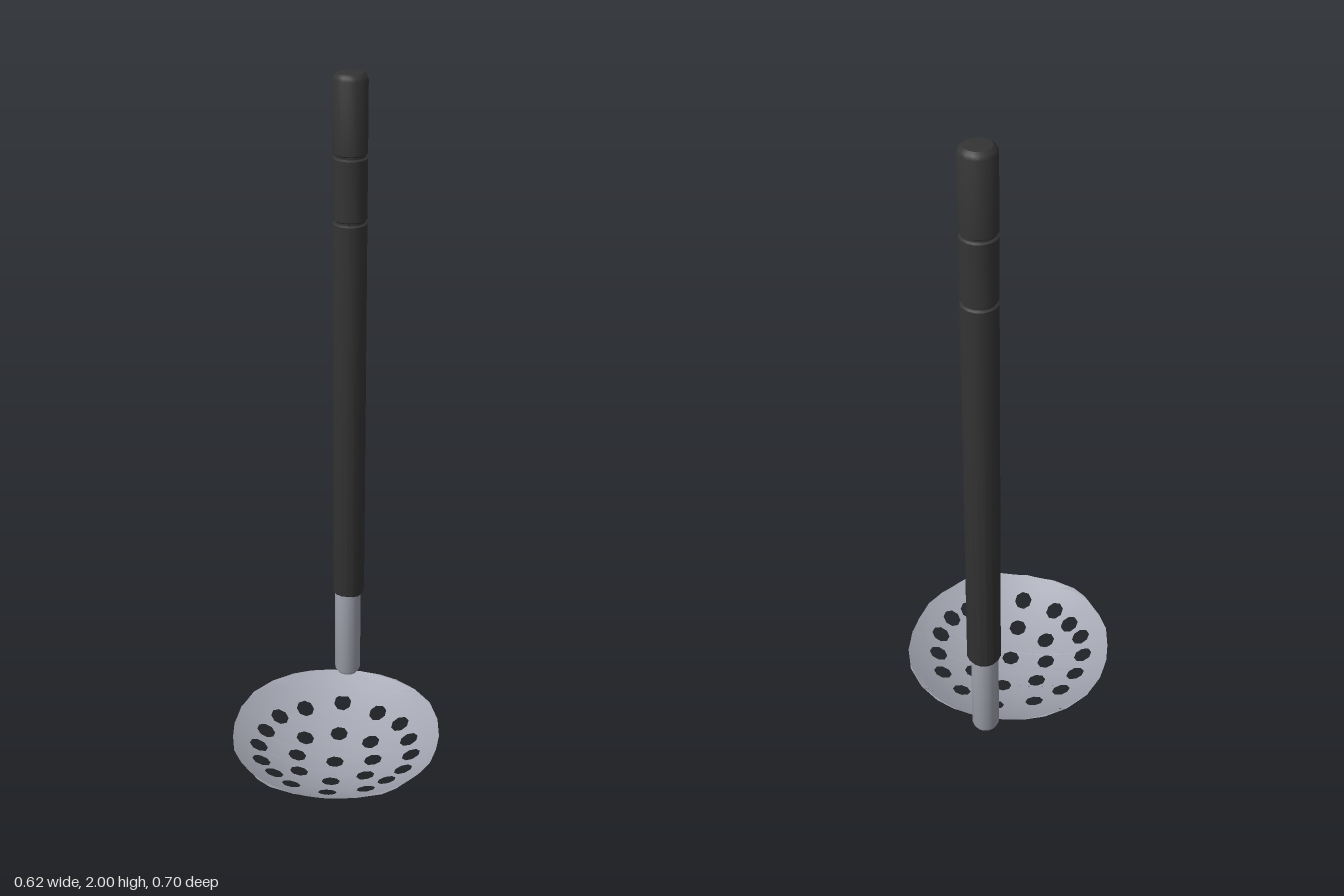
import * as THREE from 'three';
import { mergeVertices, toCreasedNormals } from 'three/addons/utils/BufferGeometryUtils.js';

const RIM_HEIGHT = 0.1, DISH_RADIUS = 0.316, DISH_Z = 0.035;

// Right half of the dish outline, back to front, as [x, z]
const RIM = [
  [0, -0.283], [0.05, -0.28], [0.11, -0.268], [0.165, -0.245], [0.225, -0.2],
  [0.275, -0.135], [0.303, -0.055], [0.311, 0.025], [0.305, 0.09], [0.29, 0.16],
  [0.26, 0.215], [0.2, 0.29], [0.16, 0.32], [0.09, 0.343], [0, 0.352],
];
// Drain holes: on the centre line, and in mirrored pairs
const CENTRE_HOLES = [-0.18, -0.065, 0.063, 0.181, 0.274];
const PAIRED_HOLES = [
  [0.114, -0.14], [0.187, -0.083], [0.219, -0.007], [0.23, 0.072], [0.211, 0.147],
  [0.166, 0.198], [0.109, 0.247], [0.101, -0.028], [0.115, 0.058], [0.099, 0.143],
];

// Splits every triangle into four, the given number of times
function subdivide(geometry, times) {
  let p = Array.from(geometry.toNonIndexed().attributes.position.array);
  for (let t = 0; t < times; t++) {
    const out = [];
    for (let i = 0; i < p.length; i += 9) {
      const a = p.slice(i, i + 3), b = p.slice(i + 3, i + 6), c = p.slice(i + 6, i + 9);
      const mid = (u, v) => u.map((n, k) => (n + v[k]) / 2);
      const ab = mid(a, b), bc = mid(b, c), ca = mid(c, a);
      out.push(...a, ...ab, ...ca, ...ab, ...b, ...bc, ...ca, ...bc, ...c, ...ab, ...bc, ...ca);
    }
    p = out;
  }
  const g = new THREE.BufferGeometry();
  g.setAttribute('position', new THREE.Float32BufferAttribute(p, 3));
  return mergeVertices(g, 1e-5);
}

// Perforated sheet pressed into a shallow bowl
function dishGeometry() {
  const left = RIM.slice(1, -1).reverse().map(([x, z]) => [-x, z]);
  const shape = new THREE.Shape([...RIM, ...left].map(([x, z]) => new THREE.Vector2(x, -z)));
  const holes = CENTRE_HOLES.map((z) => [0, z]);
  for (const [x, z] of PAIRED_HOLES) holes.push([x, z], [-x, z]);
  for (const [x, z] of holes) {
    const corners = [];
    for (let i = 0; i < 8; i++) {
      const a = ((i + 0.3) / 8) * Math.PI * 2;
      corners.push(new THREE.Vector2(x + 0.027 * Math.cos(a), -z + 0.027 * Math.sin(a)));
    }
    shape.holes.push(new THREE.Path(corners));
  }
  const g = subdivide(new THREE.ShapeGeometry(shape).rotateX(-Math.PI / 2), 3);
  const pos = g.attributes.position;
  for (let i = 0; i < pos.count; i++) {
    const r = Math.hypot(pos.getX(i), pos.getZ(i) - DISH_Z) / DISH_RADIUS;
    pos.setY(i, 0.003 + (RIM_HEIGHT - 0.003) * Math.min(r * r, 1.02));
  }
  g.computeVertexNormals();
  return g;
}

function turned(points, sides) {
  const profile = points.map(([r, y]) => new THREE.Vector2(r, y));
  return toCreasedNormals(new THREE.LatheGeometry(profile, sides), 0.6);
}

export function createModel() {
  const group = new THREE.Group();
  const steel = new THREE.MeshStandardMaterial({ color: 0xa3a5b1, side: THREE.DoubleSide });
  const black = new THREE.MeshStandardMaterial({ color: 0x343434 });

  const add = (name, geometry, material, x = 0, z = 0) => {
    const mesh = new THREE.Mesh(geometry, material);
    mesh.name = name;
    mesh.position.set(x, 0, z);
    group.add(mesh);
  };

  add('dish', dishGeometry(), steel);

  // Stem with a rounded foot that reaches forward to meet the rim
  const stem = turned([[0, 0.09], [0.022, 0.091], [0.034, 0.097], [0.04, 0.11], [0.04, 0.42]], 16);
  add('stem', stem, steel, 0.004, -0.297);

  // Grip with two grooves and rounded ends
  const R = 0.049;
  const groove = (y) => [[R, y - 0.007], [R - 0.006, y - 0.003], [R - 0.006, y + 0.003], [R, y + 0.007]];
  const grip = turned([
    [0, 0.385], [R - 0.006, 0.385], [R, 0.395],
    ...groove(1.59), ...groove(1.775),
    [R, 1.982], [R - 0.004, 1.991], [R - 0.013, 1.998], [0, 2],
  ], 16);
  add('handle', grip, black, 0.005, -0.304);

  return group;
}
